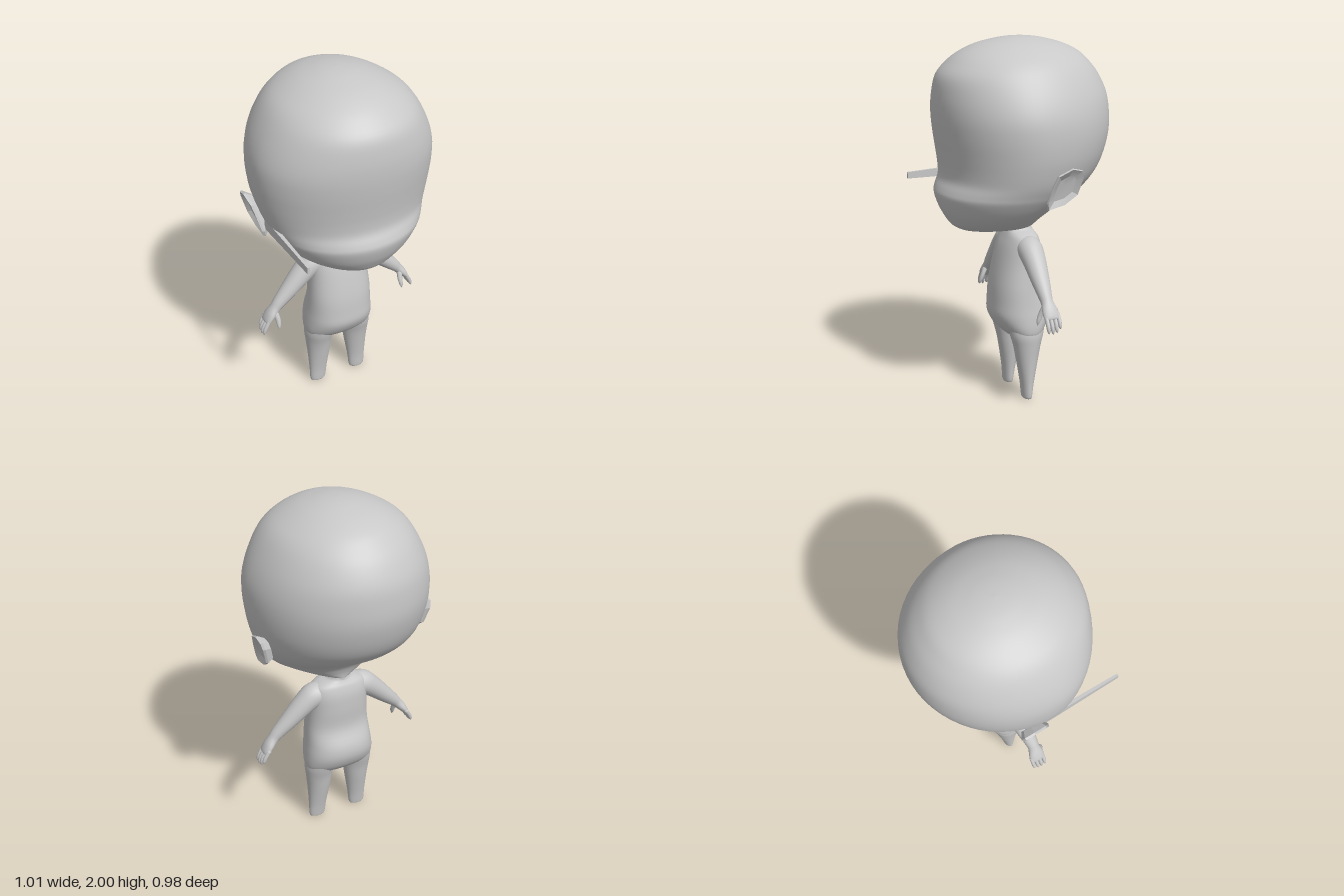
import * as THREE from 'three';
import { toCreasedNormals } from 'three/addons/utils/BufferGeometryUtils.js';

// Skin a list of closed rings (each an array of [x, y, z]) and cap both ends.
function loft(rings) {
  const n = rings[0].length, pos = [], idx = [];
  rings.forEach(r => r.forEach(p => pos.push(...p)));
  for (let i = 0; i < rings.length - 1; i++) {
    for (let j = 0; j < n; j++) {
      const a = i * n + j, b = i * n + (j + 1) % n;
      idx.push(a, a + n, b, b, a + n, b + n);
    }
  }
  const last = rings.length - 1;
  [0, last].forEach(i => {
    const c = pos.length / 3;
    pos.push(...[0, 1, 2].map(k => rings[i].reduce((s, p) => s + p[k], 0) / n));
    for (let j = 0; j < n; j++) {
      const a = i * n + j, b = i * n + (j + 1) % n;
      if (i === 0) idx.push(c, a, b);
      else idx.push(c, b, a);
    }
  });
  const g = new THREE.BufferGeometry();
  g.setAttribute('position', new THREE.Float32BufferAttribute(pos, 3));
  g.setIndex(idx);
  g.computeVertexNormals();
  return g;
}

// Smoothly interpolate rows of numbers (Catmull-Rom on every column).
function smoothRows(keys, steps) {
  const rows = [], at = i => keys[Math.min(Math.max(i, 0), keys.length - 1)];
  for (let i = 0; i < keys.length - 1; i++) {
    for (let s = 0; s < steps; s++) {
      const t = s / steps;
      rows.push(keys[i].map((_, k) => {
        const [a, b, c, d] = [at(i - 1)[k], at(i)[k], at(i + 1)[k], at(i + 2)[k]];
        return b + 0.5 * t * (c - a + t * (2 * a - 5 * b + 4 * c - d + t * (3 * (b - c) + d - a)));
      }));
    }
  }
  rows.push(keys[keys.length - 1]);
  return rows;
}

// Upright form; rows are [y, half width, front z, back z, z of widest point, centre x].
function upright(keys, sides, power = 2, steps = 4) {
  const bend = v => Math.sign(v) * Math.abs(v) ** (2 / power);
  return loft(smoothRows(keys, steps).map(([y, w, zf, zb, zc, cx = 0]) =>
    Array.from({ length: sides }, (_, j) => {
      const t = j / sides * Math.PI * 2, s = bend(Math.sin(t));
      return [cx + w * bend(Math.cos(t)), y, zc + s * (s > 0 ? zf - zc : zc - zb)];
    })));
}

// Limb along a path; rows are [x, y, z, thickness radius, z radius].
function limb(keys, sides, steps = 4) {
  const rows = smoothRows(keys, steps);
  return loft(rows.map(([x, y, z, ru, rz], i) => {
    const p = rows[Math.max(i - 1, 0)], q = rows[Math.min(i + 1, rows.length - 1)];
    const d = new THREE.Vector2(q[0] - p[0], q[1] - p[1]).normalize();
    return Array.from({ length: sides }, (_, j) => {
      const t = j / sides * Math.PI * 2, u = ru * Math.cos(t);
      return [x + d.y * u, y - d.x * u, z + rz * Math.sin(t)];
    });
  }));
}

// Mirror across x = 0, keeping faces outward.
function mirrored(geometry) {
  const g = geometry.clone().scale(-1, 1, 1), ix = g.index;
  for (let i = 0; i < ix.count; i += 3) {
    const a = ix.getX(i);
    ix.setX(i, ix.getX(i + 1));
    ix.setX(i + 1, a);
  }
  g.computeVertexNormals();
  return g;
}

export function createModel() {
  const group = new THREE.Group();
  const skin = new THREE.MeshStandardMaterial({ color: 0xc8c8c8 });
  skin.name = 'skin grey';

  const add = (name, geometry) => {
    const m = new THREE.Mesh(geometry, skin);
    m.name = name;
    group.add(m);
  };
  const addPair = (name, geometry, finish = g => g) => {
    const cap = name[0].toUpperCase() + name.slice(1);
    add('left' + cap, finish(geometry));
    add('right' + cap, finish(mirrored(geometry)));
  };

  // Head with jaw, hollow eye line and neck
  add('head', upright([
    [0.93, 0.066, 0.075, -0.072, 0],
    [0.96, 0.066, 0.082, -0.07, 0.005],
    [0.967, 0.07, 0.17, -0.07, 0.03],
    [0.972, 0.1, 0.3, -0.071, 0.08],
    [0.985, 0.16, 0.35, -0.073, 0.12],
    [1.01, 0.225, 0.39, -0.08, 0.14],
    [1.05, 0.295, 0.417, -0.1, 0.14],
    [1.1, 0.355, 0.443, -0.15, 0.12],
    [1.17, 0.407, 0.464, -0.265, 0.1],
    [1.21, 0.428, 0.455, -0.325, 0.085],
    [1.26, 0.45, 0.433, -0.38, 0.07],
    [1.32, 0.468, 0.432, -0.425, 0.06],
    [1.4, 0.485, 0.442, -0.46, 0.05],
    [1.5, 0.494, 0.457, -0.485, 0.05],
    [1.6, 0.488, 0.467, -0.488, 0.05],
    [1.7, 0.457, 0.466, -0.475, 0.04],
    [1.8, 0.405, 0.447, -0.43, 0.03],
    [1.87, 0.35, 0.39, -0.375, 0.02],
    [1.92, 0.28, 0.325, -0.32, 0.01],
    [1.96, 0.2, 0.24, -0.235, 0],
    [1.985, 0.12, 0.14, -0.14, 0],
    [1.996, 0.06, 0.07, -0.07, 0],
    [2, 0, 0, 0, 0],
  ], 64));

  // Torso with round belly and seat
  add('torso', upright([
    [0.345, 0.12, 0.05, -0.045, 0],
    [0.355, 0.17, 0.08, -0.07, 0],
    [0.38, 0.198, 0.11, -0.098, 0],
    [0.42, 0.204, 0.143, -0.127, 0],
    [0.48, 0.2, 0.17, -0.148, 0],
    [0.55, 0.192, 0.169, -0.143, 0.01],
    [0.65, 0.184, 0.16, -0.103, 0.02],
    [0.77, 0.174, 0.136, -0.105, 0.01],
    [0.86, 0.17, 0.112, -0.103, 0],
    [0.915, 0.155, 0.09, -0.09, 0],
    [0.94, 0.115, 0.079, -0.077, 0],
    [0.955, 0.075, 0.073, -0.07, 0],
    [0.975, 0.064, 0.07, -0.066, 0],
  ], 48, 2.3));

  // Legs, tapering to rounded stumps
  addPair('leg', upright([
    [0, 0.036, 0.03, -0.008, 0.01, 0.132],
    [0.006, 0.045, 0.037, -0.014, 0.01, 0.132],
    [0.03, 0.05, 0.04, -0.018, 0.01, 0.131],
    [0.1, 0.055, 0.046, -0.03, 0.01, 0.128],
    [0.23, 0.069, 0.067, -0.057, 0.005, 0.122],
    [0.31, 0.077, 0.083, -0.072, 0, 0.121],
    [0.37, 0.082, 0.1, -0.088, 0, 0.12],
    [0.42, 0.08, 0.11, -0.1, 0, 0.115],
  ], 28));

  // Arms, flattening into palms
  addPair('arm', limb([
    [0.07, 0.87, 0, 0.05, 0.06],
    [0.14, 0.865, 0, 0.07, 0.07],
    [0.205, 0.822, 0.002, 0.062, 0.064],
    [0.3, 0.732, 0.008, 0.048, 0.05],
    [0.365, 0.67, 0.013, 0.037, 0.038],
    [0.395, 0.638, 0.014, 0.03, 0.034],
    [0.425, 0.603, 0.012, 0.025, 0.044],
    [0.45, 0.568, 0.01, 0.017, 0.044],
    [0.455, 0.56, 0.01, 0.008, 0.035],
  ], 24));

  // Fingers and thumb
  const reach = [0.96, 1, 0.95, 0.8];
  reach.forEach((r, i) => {
    const z = 0.043 - i * 0.023;
    addPair('finger' + (i + 1), limb([
      [0.435, 0.59, z, 0.012, 0.011],
      [0.435 + 0.032 * r, 0.59 - 0.05 * r, z, 0.012, 0.011],
      [0.435 + 0.045 * r, 0.59 - 0.082 * r, z, 0.01, 0.009],
      [0.435 + 0.048 * r, 0.59 - 0.097 * r, z, 0.002, 0.002],
    ], 10, 3));
  });
  addPair('thumb', limb([
    [0.405, 0.625, 0.03, 0.018, 0.018],
    [0.397, 0.58, 0.053, 0.015, 0.014],
    [0.399, 0.545, 0.066, 0.011, 0.011],
    [0.401, 0.523, 0.072, 0.002, 0.002],
  ], 10, 3));

  // Ears: faceted [z, y] outline, dished on the outside and leaning outward
  const outline = [[-0.075, 1.365], [-0.13, 1.352], [-0.142, 1.315], [-0.12, 1.22], [-0.05, 1.167],
    [0.04, 1.146], [0.048, 1.183], [0.027, 1.263], [0, 1.33]];
  const earRings = [[0.75, -0.045], [1, -0.008], [0.96, 0.004], [0.6, -0.014], [0.25, -0.016]];
  addPair('ear', loft(earRings.map(([s, dx]) => outline.map(([z0, y0]) => {
    const z = -0.05 + (z0 + 0.05) * s, y = 1.26 + (y0 - 1.26) * s;
    return [0.45 + (y - 1.15) * 0.25 + dx, y, z];
  }))), g => toCreasedNormals(g, 0.35));

  // Thin spike running forward from the right ear
  const spike = [[0.03, -0.43, 1.22, 0.012, 0.03], [0.495, -0.426, 1.208, 0.007, 0.018]];
  add('earSpike', toCreasedNormals(loft(spike.map(([z, x, y, hx, hy]) =>
    [[1, 1], [1, -1], [-1, -1], [-1, 1]].map(([a, b]) => [x + a * hx, y + b * hy, z]))), 0.5));

  return group;
}
